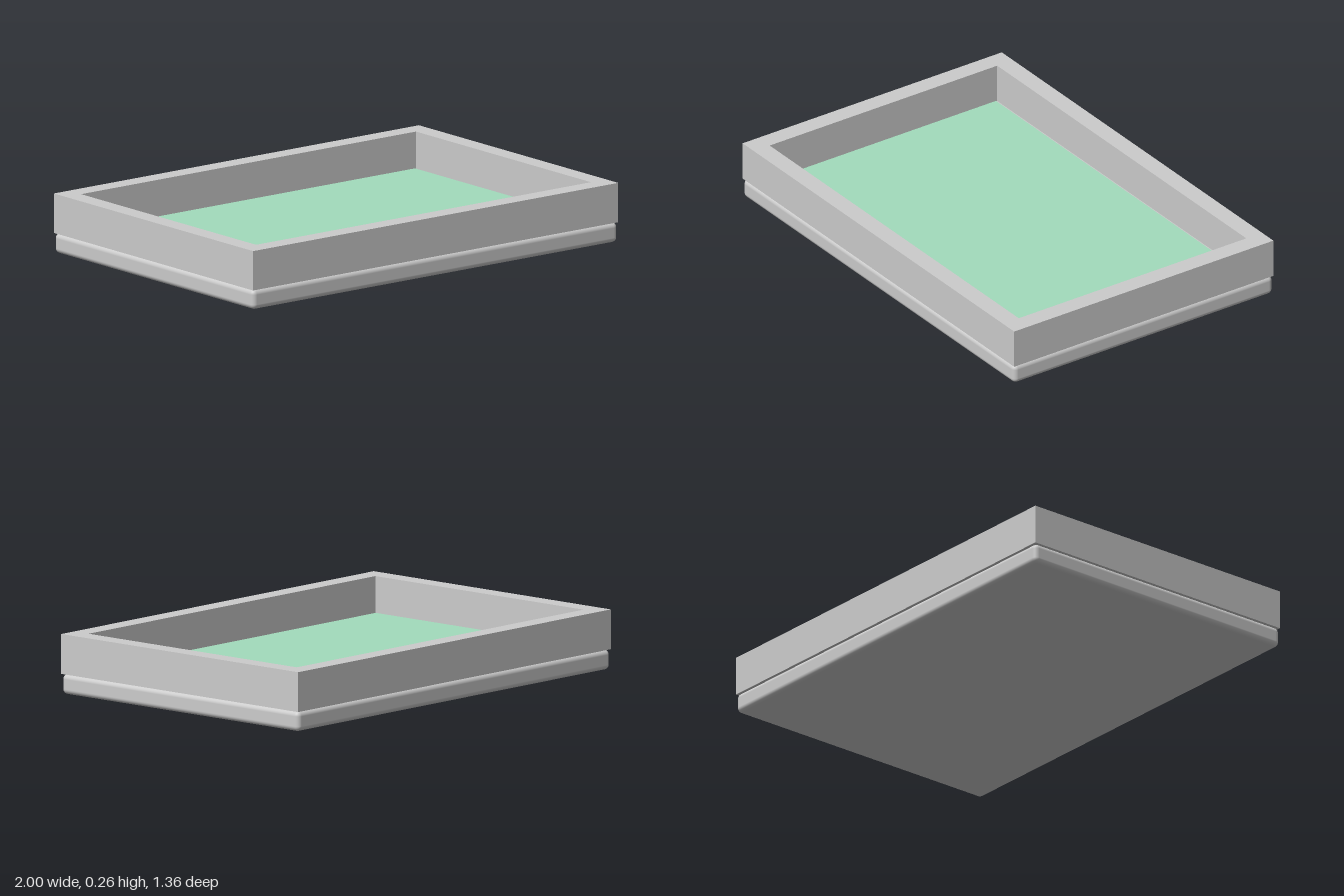
import * as THREE from 'three';
import { RoundedBoxGeometry } from 'three/addons/geometries/RoundedBoxGeometry.js';

const WIDTH = 2, DEPTH = 1.358;
const BASE_HEIGHT = 0.087, TOP = 0.26, WALL = 0.083, GAP = 0.025;

// Counter-clockwise rectangle centred on the origin
function rectangle(PathType, w, d) {
  const x = w / 2, y = d / 2;
  const path = new PathType();
  path.moveTo(-x, -y);
  path.lineTo(x, -y);
  path.lineTo(x, y);
  path.lineTo(-x, y);
  path.closePath();
  return path;
}

export function createModel() {
  const group = new THREE.Group();
  group.name = 'tray';
  const grey = new THREE.MeshStandardMaterial({ color: 0xcccccc });
  const green = new THREE.MeshStandardMaterial({ color: 0xa2dcbc });

  const add = (name, geometry, material, y) => {
    const mesh = new THREE.Mesh(geometry, material);
    mesh.name = name;
    mesh.position.y = y;
    group.add(mesh);
  };

  // Solid base slab with rounded edges
  add('base', new RoundedBoxGeometry(WIDTH, BASE_HEIGHT, DEPTH, 4, 0.022), grey, BASE_HEIGHT / 2);

  // Square-edged rim standing on the base
  const outline = rectangle(THREE.Shape, WIDTH, DEPTH);
  outline.holes.push(rectangle(THREE.Path, WIDTH - 2 * WALL, DEPTH - 2 * WALL));
  const rim = new THREE.ExtrudeGeometry(outline, { depth: TOP - BASE_HEIGHT, bevelEnabled: false });
  rim.rotateX(-Math.PI / 2);
  add('rim', rim, grey, BASE_HEIGHT);

  // Thin coloured panel lying inside the rim, with a narrow gap around it
  const inset = 2 * (WALL + GAP), thickness = 0.02;
  add('floorPanel', new THREE.BoxGeometry(WIDTH - inset, thickness, DEPTH - inset), green,
    BASE_HEIGHT + thickness / 2);

  return group;
}
